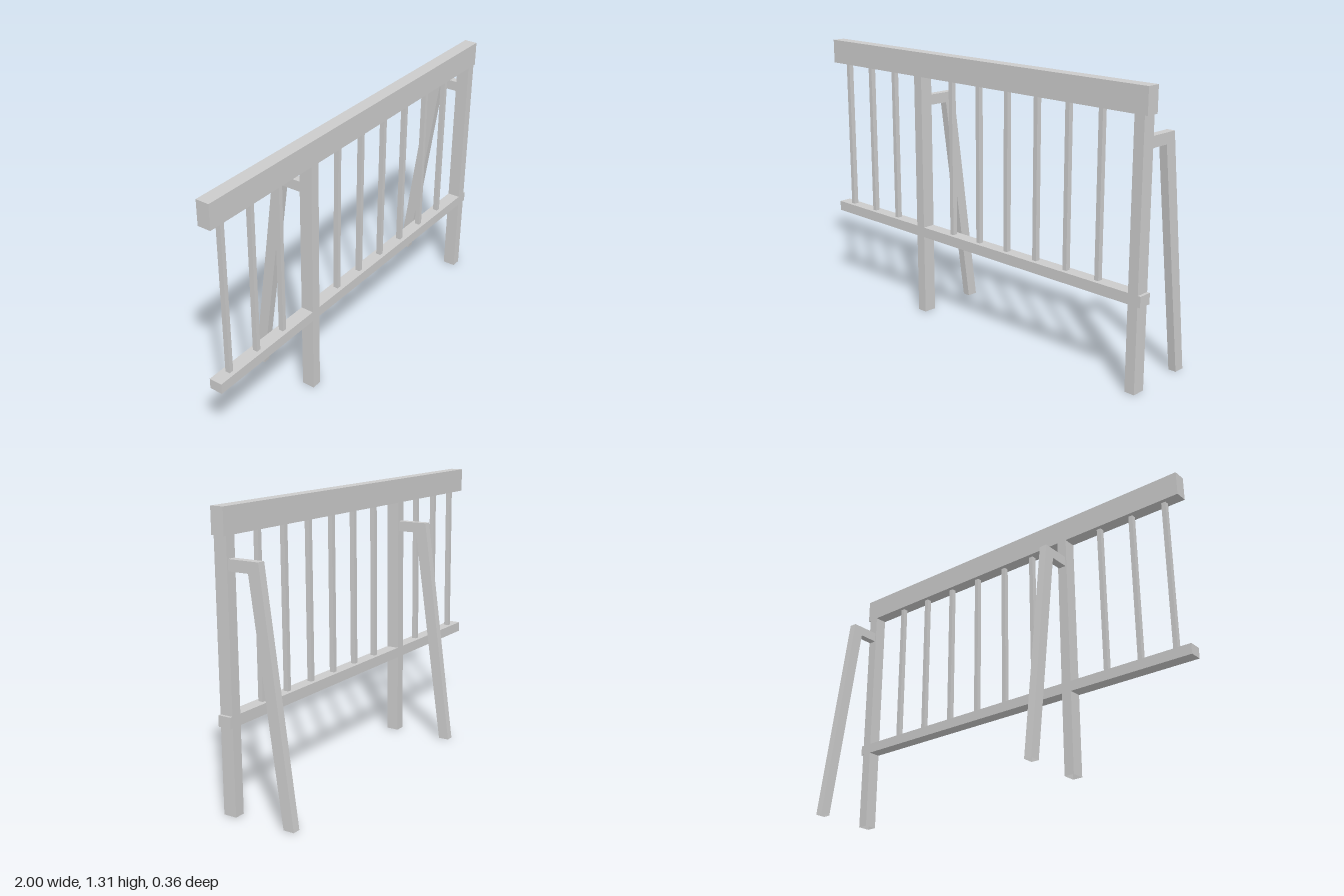
import * as THREE from 'three';

const material = new THREE.MeshStandardMaterial({ color: 0xcccccc, flatShading: true });
const openMaterial = new THREE.MeshStandardMaterial({ color: 0xcccccc, flatShading: true, side: THREE.DoubleSide });

const RAIL_Z = 0.149, RAIL_DEPTH = 0.064;

// Box given by its centre x, bottom and top heights, width and depth
function bar(x, y0, y1, width, depth) {
  return new THREE.BoxGeometry(width, y1 - y0, depth).translate(x, (y0 + y1) / 2, RAIL_Z);
}

// Removes the triangles lying on the ground, leaving a hollow foot
function openFoot(geometry) {
  const g = geometry.index ? geometry.toNonIndexed() : geometry;
  const p = g.attributes.position;
  const kept = [];
  for (let i = 0; i < p.count; i += 3) {
    if (Math.max(p.getY(i), p.getY(i + 1), p.getY(i + 2)) > 0.001) kept.push(i, i + 1, i + 2);
  }
  g.setIndex(kept);
  g.clearGroups();
  return g;
}

// Bent back support: short arm from the post, then a leg sloping to the ground
function braceGeometry(x, width) {
  const profile = [[0.118, 1.1], [-0.035, 1.1], [-0.18, 0], [-0.128, 0], [0.017, 1.05], [0.118, 1.05]];
  const shape = new THREE.Shape(profile.map(([z, y]) => new THREE.Vector2(-z, y)));
  return new THREE.ExtrudeGeometry(shape, { depth: width, bevelEnabled: false })
    .translate(0, 0, -width / 2)
    .rotateY(Math.PI / 2)
    .translate(x, 0, 0);
}

export function createModel() {
  const model = new THREE.Group();
  model.name = 'railing';
  const add = (name, geometry, mat = material) => {
    const mesh = new THREE.Mesh(geometry, mat);
    mesh.name = name;
    model.add(mesh);
  };

  // Horizontal rails
  add('topRail', bar(0, 1.193, 1.31, 2, RAIL_DEPTH));
  add('bottomRail', bar(0, 0.395, 0.445, 2, RAIL_DEPTH));

  // Posts with their rear braces
  for (const x of [-0.349, 0.961]) {
    add('post', openFoot(bar(x, 0, 1.193, 0.05, RAIL_DEPTH)), openMaterial);
    add('brace', openFoot(braceGeometry(x, 0.038)), openMaterial);
  }

  // Thin balusters: three left of the middle post, six between the posts
  for (const [start, count] of [[-0.913, 3], [-0.143, 6]]) {
    for (let i = 0; i < count; i++) add('baluster', bar(start + i * 0.179, 0.445, 1.193, 0.022, 0.024));
  }
  return model;
}
